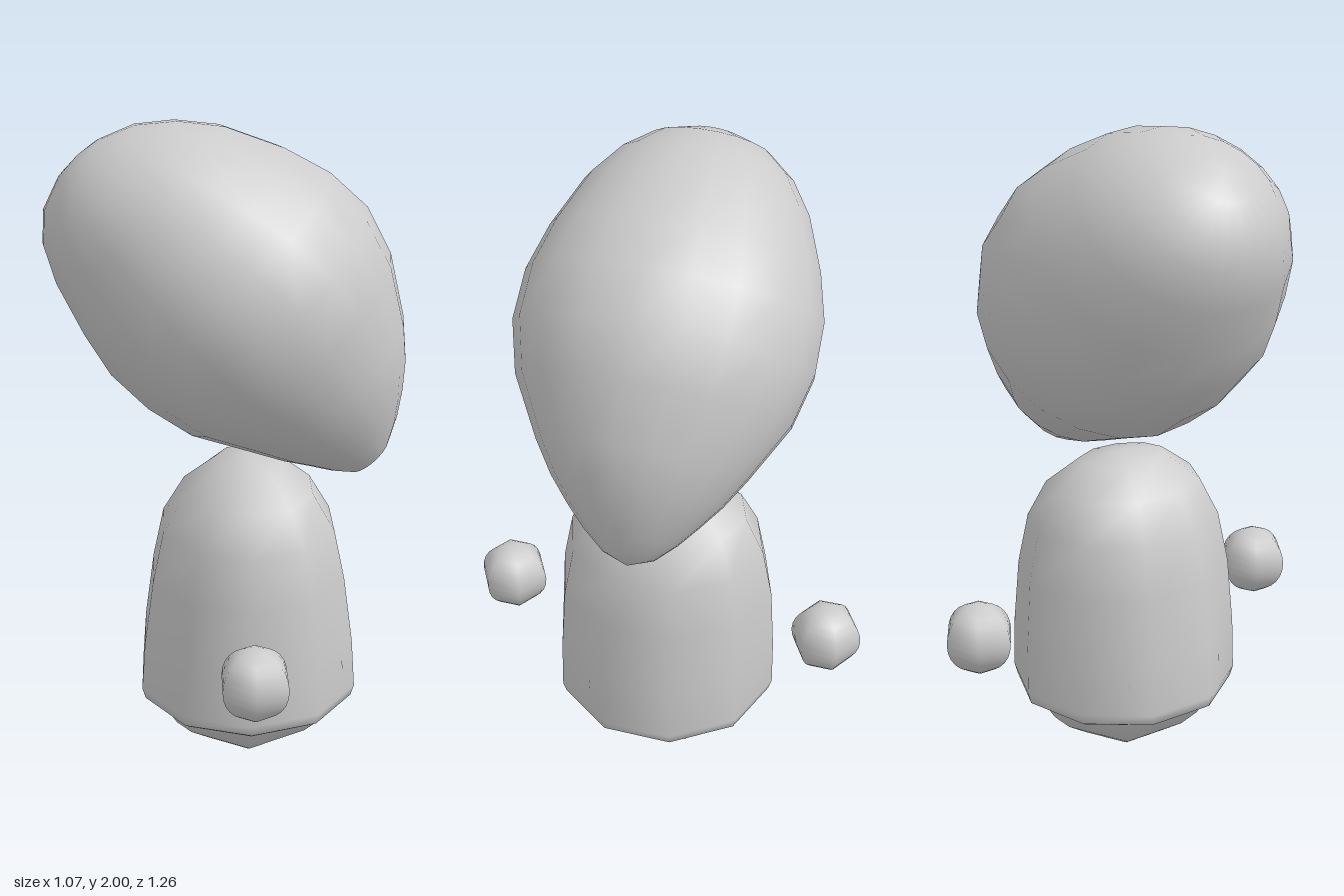
import * as THREE from 'three';
import { mergeVertices } from 'three/addons/utils/BufferGeometryUtils.js';

const material = new THREE.MeshStandardMaterial({ color: 0xcccccc });

// Skin over elliptical rings [y, centreX, radiusX, radiusZ], listed from bottom to top;
// corners fall on the +z and -z sides when the number of sides is even
function loft(rings, sides) {
  const positions = [];
  const index = [];
  rings.forEach(([y, cx, rx, rz], i) => {
    for (let j = 0; j < sides; j++) {
      const a = (j / sides) * Math.PI * 2;
      positions.push(cx + rx * Math.sin(a), y, rz * Math.cos(a));
      if (i === 0) continue;
      const k = (j + 1) % sides;
      const lo = (i - 1) * sides, hi = i * sides;
      index.push(lo + j, lo + k, hi + k, lo + j, hi + k, hi + j);
    }
  });
  const geometry = new THREE.BufferGeometry();
  geometry.setAttribute('position', new THREE.Float32BufferAttribute(positions, 3));
  geometry.setIndex(index);
  const merged = mergeVertices(geometry, 1e-4);
  merged.computeVertexNormals();
  return merged;
}

function add(group, name, geometry, x, y, z) {
  const mesh = new THREE.Mesh(geometry, material);
  mesh.name = name;
  mesh.position.set(x, y, z);
  group.add(mesh);
  return mesh;
}

// Smooth ball with six sides around
function ball(radius) {
  return new THREE.SphereGeometry(radius, 6, 14).rotateY(Math.PI / 2);
}

export function createModel() {
  const group = new THREE.Group();
  const centreX = 0.07;

  // Head: leaning teardrop, [distance along axis, left edge, right edge]
  const outline = [
    [0.418, -0.05, -0.05], [0.445, -0.12, 0.03], [0.5, -0.165, 0.11],
    [0.56, -0.203, 0.18], [0.63, -0.25, 0.248], [0.72, -0.3, 0.314],
    [0.89, -0.397, 0.405], [1.04, -0.435, 0.442], [1.19, -0.445, 0.425],
    [1.33, -0.42, 0.373], [1.49, -0.377, 0.285], [1.59, -0.33, 0.195],
    [1.66, -0.26, 0.1], [1.697, -0.17, 0], [1.708, -0.08, -0.08],
  ];
  const headRings = outline.map(([t, l, r]) => [t, 1.025 + (l + r) / 2, (r - l) / 2, (r - l) / 2]);
  add(group, 'head', loft(headRings, 20), 0, 0, 0).rotation.z = 0.7217;

  // Body: ten-sided bell with a rounded hem
  const bodyRings = [
    [0.188, 0, 0], [0.19, 0.315, 0.325], [0.205, 0.342, 0.347], [0.24, 0.352, 0.357],
    [0.4, 0.34, 0.355], [0.61, 0.31, 0.342], [0.77, 0.275, 0.31],
    [0.885, 0.205, 0.255], [0.965, 0.105, 0.145], [0.985, 0, 0],
  ].map(([y, rx, rz]) => [y, 0, rx, rz]);
  add(group, 'body', loft(bodyRings, 10), centreX, 0, 0);

  // Rounded base peeking out under the body
  add(group, 'base', ball(0.335), centreX, 0.337, 0);

  // Floating hands, one on each side of the body
  for (const side of [-1, 1]) {
    add(group, side > 0 ? 'frontHand' : 'backHand', ball(0.11), centreX, 0.485, side * 0.522);
  }
  return group;
}
